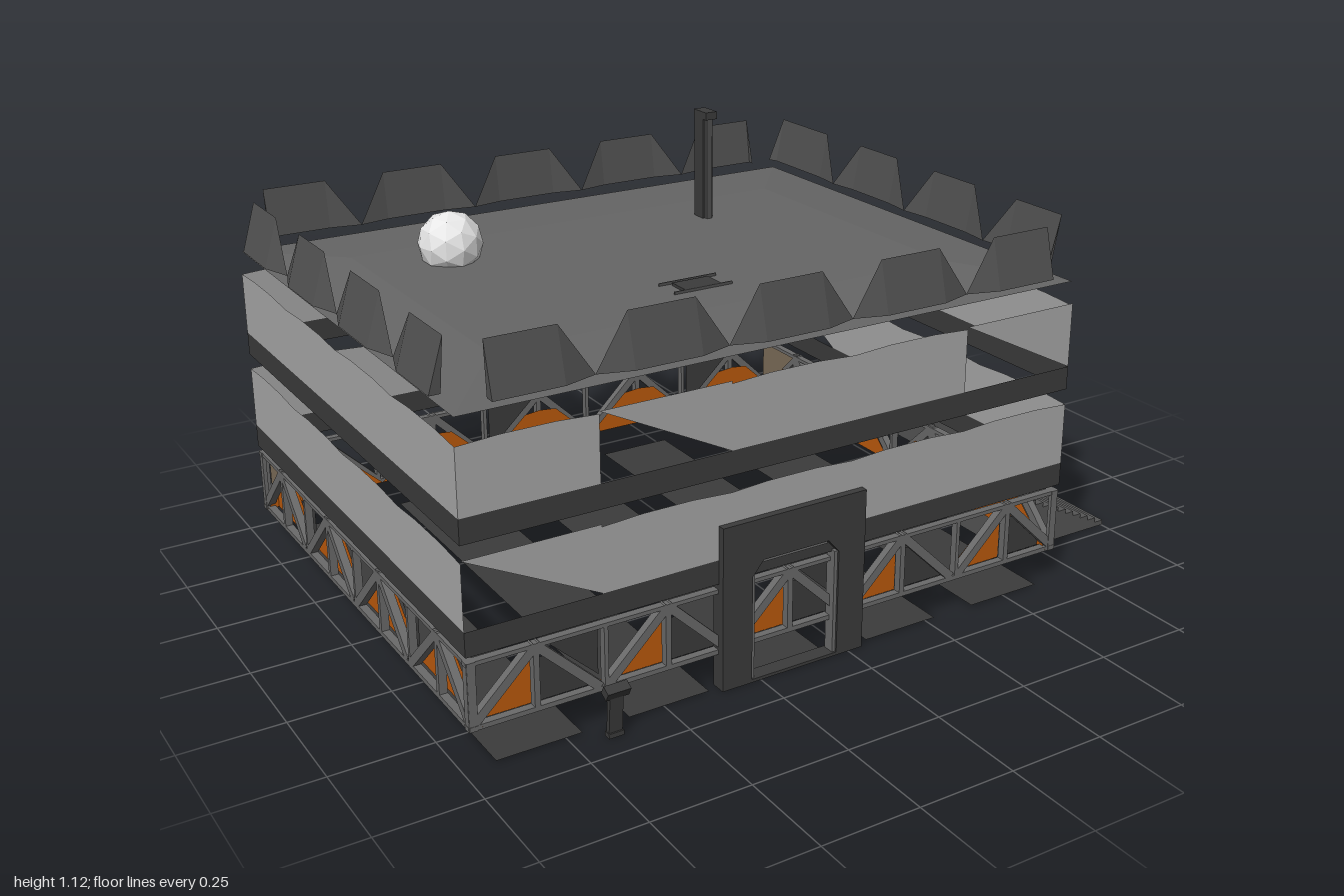
import * as THREE from 'three';

const mat = (name, color) => {
  const m = new THREE.MeshStandardMaterial({ color, side: THREE.DoubleSide });
  m.name = name;
  return m;
};

export function createModel() {
  const root = new THREE.Group();
  root.name = 'building';
  const dark = mat('dark metal', 0x3b3b3b), flapGrey = mat('flap grey', 0x505050);
  const light = mat('wall panel', 0xa8a8a8), roofGrey = mat('roof grey', 0x666666);
  const steel = mat('truss steel', 0x6a6a6a), orange = mat('orange panel', 0xbc5a0c);
  const stone = mat('stair grey', 0x555555), pale = mat('pale dome', 0xf0f0f0);
  const brown = mat('brown panel', 0x7c6c58);
  pale.flatShading = true;
  const CX = -0.157, CZ = -0.02, W = 0.822, D = 0.657;

  const add = (parent, name, geo, m, x = 0, y = 0, z = 0) => {
    const mesh = new THREE.Mesh(geo, m);
    mesh.name = name;
    mesh.position.set(x, y, z);
    parent.add(mesh);
    return mesh;
  };
  const box = (parent, name, m, x0, x1, y0, y1, z0, z1) =>
    add(parent, name, new THREE.BoxGeometry(x1 - x0, y1 - y0, z1 - z0), m,
      (x0 + x1) / 2, (y0 + y1) / 2, (z0 + z1) / 2);
  const shapeOf = (pts) => new THREE.Shape(pts.map((p) => new THREE.Vector2(...p)));
  const sheet = (parent, name, m, pts, z) =>
    add(parent, name, new THREE.ShapeGeometry(shapeOf(pts)), m, 0, 0, z);
  const bar = (parent, name, x0, y0, x1, y1, t, z) => {
    const b = add(parent, name, new THREE.BoxGeometry(Math.hypot(x1 - x0, y1 - y0), t, 0.02),
      steel, (x0 + x1) / 2, (y0 + y1) / 2, z);
    b.rotation.z = Math.atan2(y1 - y0, x1 - x0);
  };

  // Folded flap: flat centre with two wings; l, r are wing reaches, h the right half width
  const flap = (parent, c, l, r, h, base, top, tip) => {
    const y0 = 0.833, y1 = 0.957;
    const p = [
      [c - l, y0, tip], [c - 0.083, y0, base], [c - 0.083, y1, top],
      [c + h, y1, top], [c + h, y0, base], [c + r, y0, tip],
    ];
    const tris = [0, 1, 2, 1, 4, 3, 1, 3, 2, 4, 5, 3];
    const geo = new THREE.BufferGeometry();
    geo.setAttribute('position',
      new THREE.Float32BufferAttribute(tris.flatMap((i) => p[i]), 3));
    geo.computeVertexNormals();
    add(parent, 'roofFlap', geo, flapGrey);
  };

  // Four walls; broken panels keep one upper half (UL or UR)
  // lean: flap offsets at base, top and wing tip
  const sides = [
    { name: 'front', n: 5, half: W, out: D, rot: 0, lean: [0.013, -0.02, -0.012],
      upper: { 1: 'UR', 4: 'UR' }, lower: { 0: 'UR' } },
    { name: 'back', n: 5, half: W, out: D, rot: Math.PI, lean: [0.006, 0.024, -0.01],
      upper: { 0: 'UL', 2: 'UL' }, lower: { 2: 'UL' } },
    { name: 'right', n: 4, half: D, out: W, rot: Math.PI / 2, lean: [-0.004, 0.02, -0.014],
      upper: {}, lower: { 3: 'UL' } },
    { name: 'left', n: 4, half: D, out: W, rot: -Math.PI / 2, lean: [0.015, -0.022, -0.012],
      upper: {}, lower: {} },
  ];
  for (const s of sides) {
    const g = new THREE.Group();
    g.name = s.name + 'Wall';
    g.position.set(CX, 0, CZ);
    g.rotation.y = s.rot;
    root.add(g);
    const step = (2 * s.half) / s.n;

    // Two storeys: dark fascia below pale panels
    for (const [y, broken] of [[0.27, s.lower], [0.53, s.upper]]) {
      const a = y + 0.06, b = y + 0.225;
      sheet(g, 'fascia', dark, [[-s.half, y], [s.half, y], [s.half, a], [-s.half, a]], s.out);
      for (let i = 0; i < s.n; i++) {
        const u0 = -s.half + i * step, u1 = u0 + step;
        const pts = broken[i] === 'UR' ? [[u0, b], [u1, a], [u1, b]]
          : broken[i] === 'UL' ? [[u0, a], [u1, b], [u0, b]]
            : [[u0, a], [u1, a], [u1, b - 0.006], [u1 - 0.1, b], [u0 + 0.1, b], [u0, b - 0.006]];
        sheet(g, 'wallPanel', light, pts, s.out);
      }
    }

    // Truss storey with coloured infill
    const z = s.out - 0.012, y0 = 0.095, y1 = 0.25;
    bar(g, 'bottomChord', -s.half, y0, s.half, y0, 0.012, z);
    bar(g, 'topChord', -s.half, y1, s.half, y1, 0.01, z);
    for (let i = 0; i < s.n; i++) {
      const u0 = -s.half + i * step, u1 = u0 + step, c = (u0 + u1) / 2;
      bar(g, 'trussBrace', u0 + 0.01, y0 + 0.005, c, y1, 0.022, z);
      bar(g, 'trussBrace', c, y1, u1 - 0.01, y0 + 0.005, 0.022, z);
      bar(g, 'trussPost', c, y0, c, y1, 0.014, z);
      bar(g, 'trussPost', u0 + 0.006, y0, u0 + 0.006, y1, 0.01, z);
      sheet(g, 'infillLeft', orange, [[u0, y0], [c, y0], [c, 0.205], [u0 + 0.115, 0.2]], z - 0.02);
      sheet(g, 'infillRight', s.name === 'front' ? dark : orange,
        [[c, y0], [u1, y0], [u1 - 0.115, 0.2], [c, 0.205]], z - 0.02);
      if (i % 2 === 0 && i < s.n - 1) {
        sheet(g, 'darkInfill', dark, [[u1, y0 + 0.02], [u1, y1], [c + 0.02, y1]], z - 0.02);
      }
      // End flaps are cut square on the long walls; the right wall ends in a wide one
      const end = i === s.n - 1, wide = s.name === 'right' && end;
      flap(g, c, i === 0 ? 0.083 : 0.165, end && !wide ? 0.083 : 0.165,
        wide ? 0.14 : 0.083, ...s.lean.map((v) => s.out + v));
    }
    bar(g, 'trussPost', s.half - 0.006, y0, s.half - 0.006, y1, 0.01, z);
    // Corner infill at the rear end of the side walls
    if (s.n === 4) {
      const e = s.name === 'left' ? -s.half : s.half;
      sheet(g, 'cornerInfill', brown, [[e, y0], [e, y1], [e * (1 - 1 / s.n), y1]], z - 0.015);
    }
  }

  // Roof slab: thin rim halfway up, tapering to smaller top and bottom faces
  const roof = new THREE.BoxGeometry(2, 0.036, 2, 1, 2, 1).toNonIndexed();
  const rp = roof.attributes.position;
  for (let i = 0; i < rp.count; i++) {
    const y = rp.getY(i), rim = Math.abs(y) < 0.01;
    rp.setX(i, rp.getX(i) * (rim ? 0.818 : 0.62));
    rp.setZ(i, rp.getZ(i) * (rim ? 0.652 : y > 0 ? 0.4 : 0.46));
  }
  roof.computeVertexNormals();
  add(root, 'roof', roof, roofGrey, CX, 0.811, CZ);

  // Roof fittings
  add(root, 'dome', new THREE.IcosahedronGeometry(0.082, 1), pale, -0.57, 0.872, -0.275);
  box(root, 'mast', dark, 0.155, 0.185, 0.825, 1.12, -0.297, -0.255);
  box(root, 'mastCap', dark, 0.153, 0.187, 1.1, 1.12, -0.297, -0.237);
  box(root, 'mastRail', flapGrey, 0.162, 0.178, 0.825, 1.1, -0.255, -0.245);
  box(root, 'hatch', dark, -0.21, -0.11, 0.826, 0.836, 0.195, 0.255);
  for (const z of [0.182, 0.255]) box(root, 'hatchRail', flapGrey, -0.24, -0.08, 0.828, 0.836, z, z + 0.003);

  // Floor planks on the ground
  for (let i = 0; i < 5; i++) {
    const plank = add(root, 'plank', new THREE.PlaneGeometry(0.21, 2 * D), dark,
      CX + (i - 2) * 0.329, 0.002, CZ);
    plank.rotation.x = -Math.PI / 2;
  }

  // Gateway with chamfered opening
  const gate = shapeOf([[-0.355, 0], [0.04, 0], [0.04, 0.415], [-0.355, 0.415]]);
  gate.holes.push(new THREE.Path([[-0.275, 0.008], [-0.275, 0.275], [-0.245, 0.31],
    [-0.065, 0.31], [-0.035, 0.275], [-0.035, 0.008]].map((p) => new THREE.Vector2(...p))));
  add(root, 'gateway', new THREE.ExtrudeGeometry(gate, { depth: 0.04, bevelEnabled: false }),
    dark, 0, 0, 0.615);
  for (const x of [-0.279, -0.044]) box(root, 'gateTrim', steel, x, x + 0.013, 0.008, 0.275, 0.62, 0.65);
  box(root, 'gateTrim', steel, -0.245, -0.065, 0.302, 0.312, 0.62, 0.65);

  // Two stair flights
  const flight = (z0, z1, y) => {
    const steps = 12, run = 0.335, rise = 0.163;
    const pts = [[1, y], [0.665, y], [0.665, y + rise]];
    for (let i = 0; i < steps; i++) {
      const x = 0.665 + ((i + 1) * run) / steps;
      pts.push([x, y + rise * (1 - i / steps)]);
      if (i < steps - 1) pts.push([x, y + rise * (1 - (i + 1) / steps)]);
    }
    add(root, 'stairs', new THREE.ExtrudeGeometry(shapeOf(pts.reverse()),
      { depth: z1 - z0, bevelEnabled: false }), stone, 0, 0, z0);
  };
  flight(0.14, 0.468, 0.002);
  flight(-0.195, 0.128, 0.168);

  // Small control post beside the gateway
  box(root, 'postFoot', dark, -0.672, -0.634, 0, 0.012, 0.67, 0.69);
  box(root, 'post', dark, -0.67, -0.636, 0.01, 0.11, 0.678, 0.69).rotation.x = 0.08;
  box(root, 'postHead', dark, -0.68, -0.622, 0.104, 0.128, 0.676, 0.7).rotation.x = 0.5;

  return root;
}
